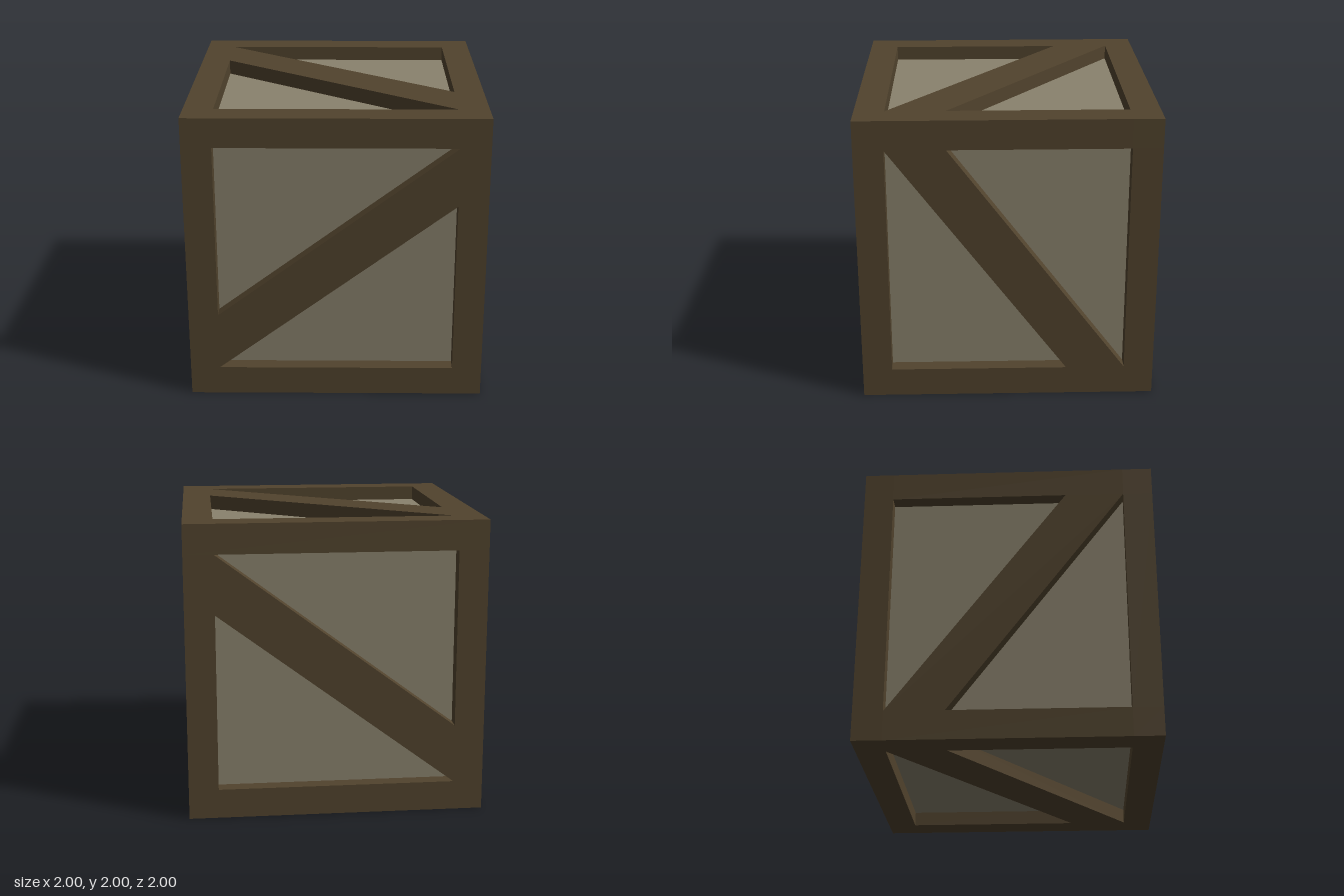
import * as THREE from 'three';

const HALF = 1;        // half the crate's side
const BEAM = 0.2;      // beam width
const RECESS = 0.1;    // depth of the panels behind the frame
const INNER = HALF - BEAM;

const wood = new THREE.MeshStandardMaterial({ color: 0x51432d, flatShading: true });
const board = new THREE.MeshStandardMaterial({ color: 0x8a826d, flatShading: true });

function add(parent, name, geometry, material) {
  const mesh = new THREE.Mesh(geometry, material);
  mesh.name = name;
  parent.add(mesh);
  return mesh;
}

export function createModel() {
  const model = new THREE.Group();
  model.name = 'crate';
  const crate = new THREE.Group();
  crate.name = 'crateBody';
  crate.position.y = HALF;
  model.add(crate);

  // Recessed panels: one inner box shows through all six sides
  const side = 2 * (HALF - RECESS);
  add(crate, 'panels', new THREE.BoxGeometry(side, side, side), board);

  // Twelve edge beams; those along x run full length, the others fit between
  const c = HALF - BEAM / 2;
  for (const a of [-c, c]) {
    for (const b of [-c, c]) {
      add(crate, 'beamX', new THREE.BoxGeometry(2 * HALF, BEAM, BEAM), wood).position.set(0, a, b);
      add(crate, 'beamY', new THREE.BoxGeometry(BEAM, 2 * INNER, BEAM), wood).position.set(a, 0, b);
      add(crate, 'beamZ', new THREE.BoxGeometry(BEAM, BEAM, 2 * INNER), wood).position.set(a, b, 0);
    }
  }

  // Diagonal brace: a parallelogram between opposite inner corners
  const shape = new THREE.Shape([
    new THREE.Vector2(-INNER, -INNER),
    new THREE.Vector2(INNER, INNER - 2 * BEAM),
    new THREE.Vector2(INNER, INNER),
    new THREE.Vector2(-INNER, -INNER + 2 * BEAM),
  ]);

  // Each opposite pair of sides shares one brace direction
  const X = new THREE.Vector3(1, 0, 0);
  const Y = new THREE.Vector3(0, 1, 0);
  const Z = new THREE.Vector3(0, 0, 1);
  const pairs = [
    ['frontBackBrace', X, Y],
    ['sideBrace', Y, Z],
    ['topBottomBrace', X, Z],
  ];
  for (const [name, u, v] of pairs) {
    const basis = new THREE.Matrix4().makeBasis(u, v, u.clone().cross(v));
    for (const offset of [-HALF, HALF - RECESS]) {
      const geometry = new THREE.ExtrudeGeometry(shape, { depth: RECESS, bevelEnabled: false });
      geometry.translate(0, 0, offset).applyMatrix4(basis);
      add(crate, name, geometry, wood);
    }
  }

  return model;
}
